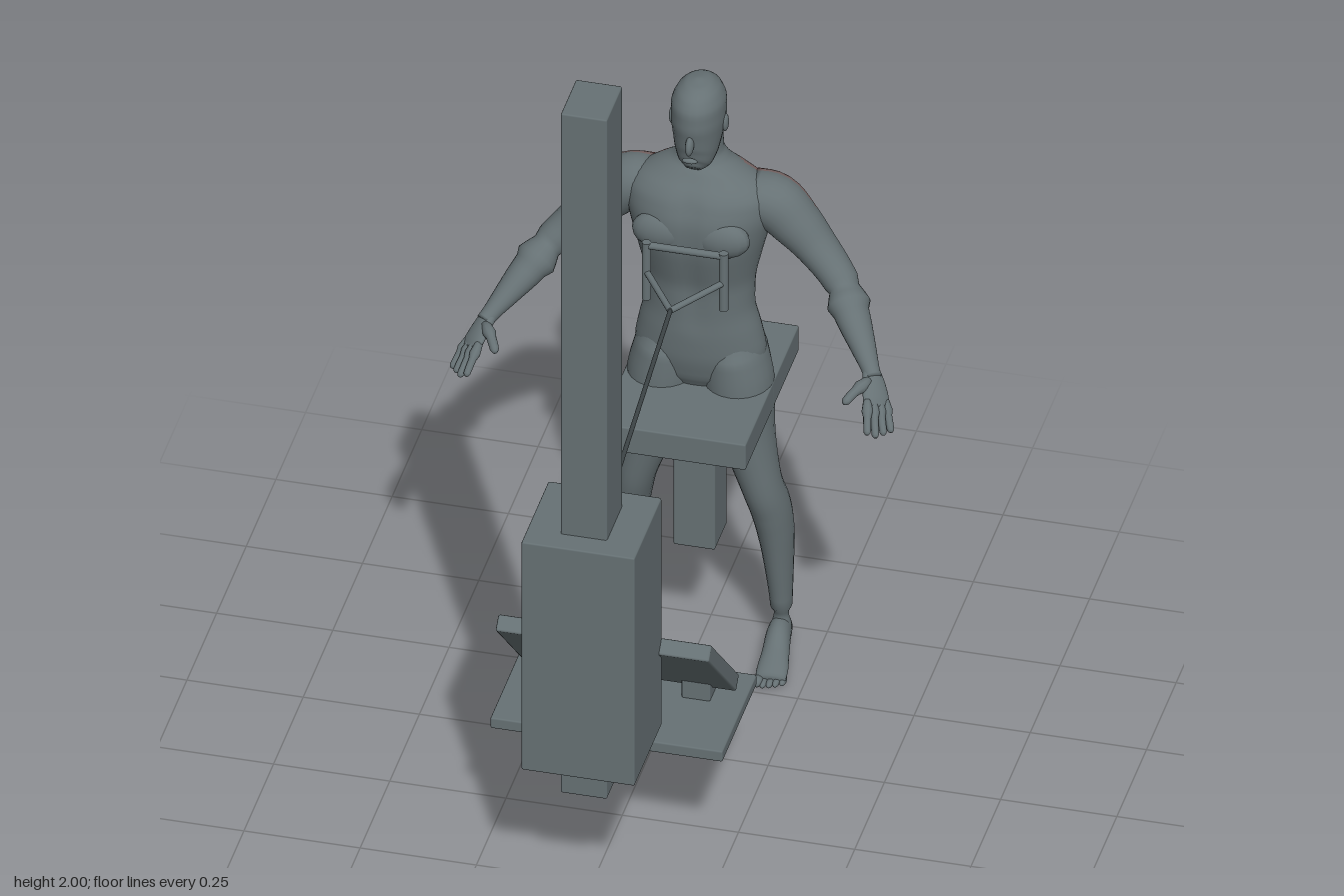
import * as THREE from 'three';
import { RoundedBoxGeometry } from 'three/addons/geometries/RoundedBoxGeometry.js';

const V = (x, y, z) => new THREE.Vector3(x, y, z);
const Z = V(0, 0, 1);

export function createModel() {
  const mat = (name, color) => {
    const m = new THREE.MeshStandardMaterial({ color });
    m.name = name;
    return m;
  };
  const grey = mat('slate grey', 0x667174);
  const cableGrey = mat('dark cable', 0x3a4143);
  const faint = mat('faint muscle', 0x7c6867);
  const dull = mat('soft muscle', 0x955a55);
  const red = mat('worked muscle', 0xb0493f);
  const skin = [grey, faint, dull, red];

  const model = new THREE.Group();
  const machine = new THREE.Group();
  machine.name = 'cableMachine';
  const figure = new THREE.Group();
  figure.name = 'figure';
  model.add(machine, figure);

  const add = (parent, name, geo, material = grey) => {
    const m = new THREE.Mesh(geo, material);
    m.name = name;
    parent.add(m);
    return m;
  };
  // Box given by its extents on each axis
  const box = (name, [x0, x1], [y0, y1], [z0, z1]) => {
    const m = add(machine, name, new RoundedBoxGeometry(x1 - x0, y1 - y0, z1 - z0, 1, 0.004));
    m.position.set((x0 + x1) / 2, (y0 + y1) / 2, (z0 + z1) / 2);
    return m;
  };
  // Round bar between two points
  const bar = (name, a, b, r, material) => {
    const m = add(machine, name, new THREE.CylinderGeometry(r, r, a.distanceTo(b), 12), material);
    m.position.copy(a).lerp(b, 0.5);
    m.quaternion.setFromUnitVectors(V(0, 1, 0), b.clone().sub(a).normalize());
  };

  // Muscle shading level on the upper back, fading toward its outline
  const level = (p) => {
    const s = Math.min((-p.z - 0.44) / 0.04, (p.y - 0.85) / 0.04,
      (1.21 - p.y) / 0.06, (0.24 - Math.abs(p.x)) / 0.1);
    return s <= 0 ? 0 : s < 0.35 ? 1 : s < 0.9 ? 2 : 3;
  };

  // Smooth skin through elliptical rows [x, y, z, radius across, radius along ref]
  function loft(rows, { ref = Z, steps = 4, sides = 24, shape, tint } = {}) {
    const path = new THREE.CatmullRomCurve3(rows.map((r) => V(r[0], r[1], r[2])));
    const size = new THREE.CatmullRomCurve3(rows.map((r) => V(r[3], r[4], 0)));
    const n = (rows.length - 1) * steps;
    const pts = [];
    for (let i = 0; i <= n; i++) {
      const c = path.getPoint(i / n), t = path.getTangent(i / n), s = size.getPoint(i / n);
      const v = ref.clone().addScaledVector(t, -ref.dot(t)).normalize();
      const u = v.clone().cross(t);
      for (let j = 0; j < sides; j++) {
        const a = (j / sides) * Math.PI * 2;
        const p = c.clone().addScaledVector(u, Math.cos(a) * s.x).addScaledVector(v, Math.sin(a) * s.y);
        if (shape) shape(p, c);
        pts.push(p);
      }
    }
    pts.push(path.getPoint(0), path.getPoint(1));
    const faces = [[], [], [], []];
    const tri = (a, b, c) => {
      const mid = pts[a].clone().add(pts[b]).add(pts[c]).divideScalar(3);
      faces[tint ? level(mid) : 0].push(a, b, c);
    };
    for (let j = 0; j < sides; j++) {
      const k = (j + 1) % sides;
      for (let i = 0; i < n; i++) {
        const a = i * sides, b = a + sides;
        tri(a + j, a + k, b + j);
        tri(a + k, b + k, b + j);
      }
      tri(pts.length - 2, k, j);
      tri(pts.length - 1, n * sides + j, n * sides + k);
    }
    const g = new THREE.BufferGeometry().setFromPoints(pts);
    g.setIndex(faces.flat());
    let start = 0;
    faces.forEach((f, i) => {
      if (f.length) g.addGroup(start, f.length, i);
      start += f.length;
    });
    g.computeVertexNormals();
    return g;
  }
  // Upright rows [y, half width, front z, back z]
  const upright = (rows) => rows.map(([y, w, f, b]) => [0, y, (f + b) / 2, w, (f - b) / 2]);
  const blob = (name, pos, scale) => {
    const m = add(figure, name, new THREE.SphereGeometry(1, 16, 12));
    m.position.set(...pos);
    m.scale.set(...scale);
    return m;
  };

  // Weight tower
  box('towerColumn', [-0.05, 0.05], [0.27, 2], [0.445, 0.575]);
  box('towerHousing', [-0.122, 0.122], [0.35, 0.93], [0.395, 0.625]);

  // Seat and its post
  box('seat', [-0.157, 0.157], [0.615, 0.68], [-0.625, -0.175]);
  box('seatPost', [-0.045, 0.045], [0.27, 0.62], [-0.455, -0.355]);

  // Foot rests
  for (const s of [-1, 1]) {
    const span = (a, b) => (s > 0 ? [a, b] : [-b, -a]);
    box('footBase', span(0.045, 0.25), [0.27, 0.297], [0.095, 0.385]);
    box('footBracket', span(0.118, 0.18), [0.295, 0.342], [0.13, 0.215]);
    const pad = add(machine, 'footPad', new RoundedBoxGeometry(0.165, 0.036, 0.33, 1, 0.004));
    pad.position.set(s * 0.147, 0.443, 0.292);
    pad.rotation.x = -Math.PI / 4;
  }

  // Cable and handle
  const apex = V(0, 1.01, -0.155);
  bar('cable', V(0, 0.87, 0.4), apex, 0.005, cableGrey);
  for (const s of [-1, 1]) {
    bar('handleArm', apex, V(s * 0.083, 1.01, -0.28), 0.007);
    bar('handleGrip', V(s * 0.083, 0.942, -0.28), V(s * 0.083, 1.085, -0.28), 0.01);
  }
  bar('handleCrossbar', V(-0.088, 1.077, -0.28), V(0.088, 1.077, -0.28), 0.008);

  // Torso and neck, with a spine groove and a breastbone groove
  add(figure, 'torso', loft(upright([
    [0.655, 0.05, -0.37, -0.45], [0.70, 0.125, -0.348, -0.48], [0.76, 0.14, -0.336, -0.492],
    [0.82, 0.13, -0.333, -0.488], [0.88, 0.117, -0.333, -0.482], [0.94, 0.118, -0.33, -0.486],
    [1.0, 0.13, -0.315, -0.502], [1.06, 0.145, -0.302, -0.515], [1.11, 0.157, -0.302, -0.522],
    [1.15, 0.158, -0.315, -0.517], [1.18, 0.138, -0.335, -0.505], [1.205, 0.1, -0.355, -0.49],
    [1.225, 0.062, -0.37, -0.478], [1.25, 0.046, -0.378, -0.47], [1.3, 0.044, -0.375, -0.468],
  ]), {
    sides: 48, tint: true,
    shape: (p, c) => {
      const h = Math.max(0, Math.min(1, (p.y - 0.82) / 0.1, (1.22 - p.y) / 0.06));
      const groove = h * Math.exp(-((p.x / 0.026) ** 2));
      p.z += p.z < c.z ? groove * 0.02 : -groove * 0.008;
    },
  }), skin);

  // Head, nose, lips and ears
  add(figure, 'head', loft(upright([
    [1.238, 0.016, -0.333, -0.37], [1.25, 0.034, -0.324, -0.4], [1.275, 0.045, -0.319, -0.435],
    [1.31, 0.052, -0.318, -0.46], [1.35, 0.057, -0.316, -0.475], [1.385, 0.057, -0.318, -0.476],
    [1.415, 0.046, -0.335, -0.462], [1.432, 0.028, -0.362, -0.436], [1.438, 0.006, -0.393, -0.405],
  ])));
  blob('nose', [0, 1.318, -0.317], [0.009, 0.022, 0.016]).rotation.x = -0.3;
  blob('lips', [0, 1.279, -0.319], [0.017, 0.006, 0.007]);

  for (const s of [-1, 1]) {
    const mirror = (rows) => rows.map(([x, ...rest]) => [s * x, ...rest]);
    blob('ear', [s * 0.057, 1.335, -0.397], [0.007, 0.021, 0.013]);
    blob('chestMuscle', [s * 0.065, 1.085, -0.33], [0.062, 0.045, 0.03]);

    // Leg
    add(figure, 'leg', loft(mirror([
      [0.07, 0.8, -0.415, 0.05, 0.06], [0.074, 0.75, -0.418, 0.066, 0.082],
      [0.082, 0.68, -0.412, 0.074, 0.08], [0.095, 0.58, -0.407, 0.064, 0.073],
      [0.117, 0.49, -0.402, 0.05, 0.06], [0.135, 0.42, -0.403, 0.043, 0.053],
      [0.148, 0.36, -0.42, 0.042, 0.055], [0.157, 0.29, -0.432, 0.038, 0.052],
      [0.163, 0.2, -0.435, 0.03, 0.04], [0.167, 0.1, -0.437, 0.023, 0.028],
      [0.167, 0.04, -0.437, 0.023, 0.028],
    ])));

    // Foot and toes
    add(figure, 'foot', loft(mirror([
      [0.164, 0.03, -0.468, 0.01, 0.018], [0.165, 0.032, -0.452, 0.022, 0.032],
      [0.168, 0.037, -0.41, 0.026, 0.037], [0.174, 0.026, -0.36, 0.029, 0.026],
      [0.179, 0.018, -0.315, 0.033, 0.018], [0.182, 0.013, -0.285, 0.032, 0.012],
    ]), { ref: V(0, 1, 0) }));
    for (let i = 0; i < 5; i++) {
      const r = i ? 0.0075 : 0.011;
      blob('toe', [s * (0.157 + i * 0.0125), r, -0.276 - i * i * 0.0012], [r, r, 0.018]);
    }

    // Arm
    add(figure, 'arm', loft(mirror([
      [0.1, 1.148, -0.425, 0.048, 0.06], [0.155, 1.132, -0.425, 0.061, 0.062],
      [0.2, 1.093, -0.42, 0.055, 0.056], [0.25, 1.043, -0.41, 0.044, 0.048],
      [0.31, 0.985, -0.38, 0.037, 0.04], [0.345, 0.945, -0.33, 0.037, 0.04],
      [0.385, 0.9, -0.275, 0.026, 0.028], [0.408, 0.874, -0.242, 0.019, 0.02],
      [0.418, 0.862, -0.226, 0.018, 0.018],
    ]), { tint: true }), skin);

    // Hand: flat palm, four fanned fingers and a thumb
    const across = V(-0.7 * s, 0.3, 0.6).normalize();
    const normal = V(0.04 * s, -0.08, 0.09).cross(across).normalize();
    add(figure, 'palm', loft(mirror([
      [0.408, 0.874, -0.242, 0.018, 0.016], [0.42, 0.855, -0.222, 0.026, 0.014],
      [0.432, 0.832, -0.196, 0.031, 0.012], [0.438, 0.82, -0.183, 0.026, 0.008],
    ]), { ref: normal }));
    const finger = (name, points, r) => add(figure, name, loft(
      points.map((p, i) => [p.x, p.y, p.z, r * [1, 1, 0.9, 0.4][i], r * [1, 1, 0.9, 0.4][i]]),
      { ref: normal, sides: 10, steps: 3 }));
    for (let i = 0; i < 4; i++) {
      const k = 1.5 - i;
      const curl = 1 - 0.08 * Math.abs(i - 1);
      const base = V(0.433 * s, 0.83, -0.194).addScaledVector(across, k * 0.0145);
      const reach = V(0.022 * s, -0.048, 0.057).addScaledVector(across, k * 0.006).multiplyScalar(curl);
      finger('finger', [0, 0.5, 0.92, 1].map((t) =>
        base.clone().addScaledVector(reach, t).addScaledVector(V(0, -1, 0), 0.006 * t * t)), 0.0085);
    }
    finger('thumb', [V(0.412 * s, 0.862, -0.215), V(0.392 * s, 0.855, -0.182),
      V(0.378 * s, 0.845, -0.155), V(0.375 * s, 0.842, -0.148)], 0.0105);
  }
  return model;
}
